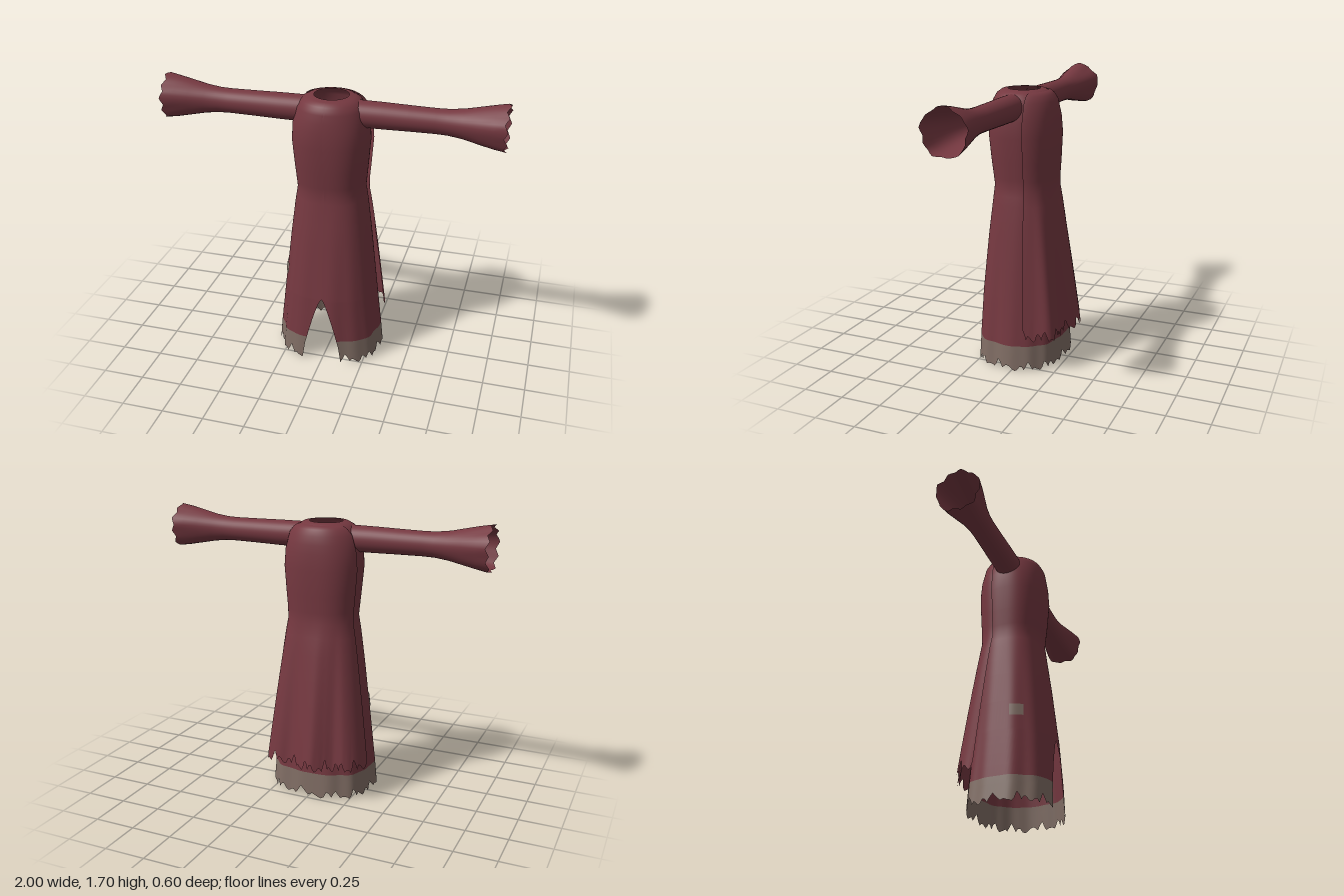
import * as THREE from 'three';

const { clamp, lerp, smoothstep } = THREE.MathUtils;
const cloth = new THREE.MeshStandardMaterial({ color: 0x753840, side: THREE.DoubleSide });
cloth.name = 'wine cloth';
const trim = new THREE.MeshStandardMaterial({ color: 0x806d64, side: THREE.DoubleSide });
trim.name = 'dusty trim';

// Smooth open sheet from a grid of points; rows from splitRow on use the second material
function sheet(name, rows, cols, point, materials = cloth, splitRow = rows) {
  const pos = [], index = [];
  for (let i = 0; i <= rows; i++)
    for (let j = 0; j <= cols; j++) pos.push(...point(i, j / cols, j));
  for (let i = 0; i < rows; i++)
    for (let j = 0; j < cols; j++) {
      const a = i * (cols + 1) + j, c = a + cols + 1;
      index.push(a, c, a + 1, a + 1, c, c + 1);
    }
  const geo = new THREE.BufferGeometry();
  geo.setAttribute('position', new THREE.Float32BufferAttribute(pos, 3));
  geo.setIndex(index);
  geo.computeVertexNormals();
  if (Array.isArray(materials)) {
    geo.addGroup(0, splitRow * cols * 6, 0);
    geo.addGroup(splitRow * cols * 6, (rows - splitRow) * cols * 6, 1);
  }
  const mesh = new THREE.Mesh(geo, materials);
  mesh.name = name;
  return mesh;
}

// Robe profile: height, half width, front z, back z
const PROFILE = [
  [1.665, 0.10, 0.14, -0.05], [1.66, 0.135, 0.175, -0.083], [1.64, 0.172, 0.203, -0.112],
  [1.6, 0.2, 0.224, -0.135], [1.5, 0.222, 0.237, -0.15], [1.4, 0.225, 0.24, -0.155],
  [1.25, 0.213, 0.226, -0.15], [1.1, 0.2, 0.208, -0.142], [1.0, 0.216, 0.219, -0.15],
  [0.8, 0.24, 0.244, -0.17], [0.44, 0.278, 0.28, -0.2], [0.155, 0.308, 0.296, -0.22],
  [0, 0.322, 0.303, -0.23],
];

function profileAt(y) {
  let k = 0;
  while (k < PROFILE.length - 2 && PROFILE[k + 1][0] > y) k++;
  const a = PROFILE[k], b = PROFILE[k + 1], t = clamp((a[0] - y) / (a[0] - b[0]), 0, 1);
  return a.map((v, n) => lerp(v, b[n], t));
}

const power = (y) => 0.82 + 0.18 * smoothstep(y, 1.4, 1.66);
const bend = (v, p) => Math.sign(v) * Math.abs(v) ** p;

// Point on the robe; angle 0 is the front, growing towards +x
function robePoint(angle, y, offset = 0) {
  const [, hx, zf, zb] = profileAt(y), p = power(y);
  const fold = clamp((1 - y) / 0.9, 0, 1) *
    (0.016 * Math.sin(8 * angle + 0.5) + 0.012 * Math.sin(13 * angle));
  return [
    (hx + offset) * (1 + fold) * bend(Math.sin(angle), p), y,
    (zf + zb) / 2 + ((zf - zb) / 2 + offset) * (1 + fold) * bend(Math.cos(angle), p),
  ];
}

// Torn edge: uneven triangular teeth, 0 at the tips
const tooth = (j) => [0, 0.55, 1, 0.6][j % 4] * (0.6 + 0.4 * Math.sin(j * 0.61)) +
  0.25 * (1 + Math.sin(Math.floor((j + 2) / 4) * 2.4)) * 0.5;

function makeRobe() {
  const ys = [1.665, 1.66, 1.65, 1.64, 1.62, 1.6, 1.55, 1.5, 1.4, 1.25, 1.15, 1.1, 1.05, 1.0, 0.9, 0.8,
    0.62, 0.44, 0.425, 0.4, 0.35, 0.29, 0.22, 0.155, 0.11, 0.05];
  const last = ys.length - 1;
  return sheet('robe', last, 112, (i, u, j) => {
    let y = ys[i];
    // Front slit widens downwards
    const w = y < 0.44 ? 0.1 * ((0.44 - y) / 0.3) ** 0.75 : 0;
    const slit = Math.asin((w / profileAt(y)[1]) ** (1 / power(y)));
    const angle = slit + (2 * Math.PI - 2 * slit) * u;
    if (i === last) y = 0.05 * tooth(j);
    return robePoint(angle, y);
  }, [cloth, trim], ys.indexOf(0.155));
}

// Back cape: follows the robe to the waist, then flares into a wavy hem
const CAPE_HEM = new THREE.CatmullRomCurve3([
  [0.325, -0.075], [0.295, -0.15], [0.27, -0.23], [0.2, -0.255], [0.11, -0.25], [0.03, -0.285],
  [-0.05, -0.31], [-0.12, -0.272], [-0.17, -0.243], [-0.24, -0.235], [-0.295, -0.19], [-0.34, -0.1],
].map(([x, z]) => new THREE.Vector3(x, 0, z)));

function capeUpper(u, y, offset) {
  const [, , zf, zb] = profileAt(y);
  const c = ((zf + zb) / 2 + 0.035) / ((zf - zb) / 2 + offset);
  const start = Math.acos(-(c ** (1 / power(y))));
  return robePoint(start + (2 * Math.PI - 2 * start) * u, y, offset);
}

function makeCape() {
  const ys = [1.654, 1.65, 1.635, 1.6, 1.55, 1.5, 1.4, 1.25, 1.15, 1.08, 1.0, 0.9, 0.75, 0.6, 0.45, 0.34, 0.22];
  const last = ys.length - 1;
  return sheet('backCape', last, 80, (i, u, j) => {
    let y = ys[i];
    const top = capeUpper(u, Math.max(y, 1.08), i === 0 ? 0.003 : 0.016);
    if (i === last) y = 0.2 + 0.065 * tooth(j + 2);
    const t = clamp((1.08 - y) / 0.86, 0, 1) ** 0.87;
    const hem = CAPE_HEM.getPoint(u);
    return [lerp(top[0], hem.x, t), y, lerp(top[2], hem.z, t)];
  });
}

// Sleeve: straight tube flaring into a wavy open cuff
function makeSleeve(side, name) {
  const path = [[0.16, 0.077], [0.3, 0.076], [0.45, 0.073], [0.6, 0.071], [0.67, 0.073],
    [0.75, 0.083], [0.84, 0.102], [0.92, 0.118], [0.99, 0.129]];
  return sheet(name, path.length - 1, 40, (i, u) => {
    const a = side * u * 2 * Math.PI;
    const flare = smoothstep(path[i][0], 0.65, 1);
    const r = path[i][1] * (1 + 0.045 * flare * Math.cos(5 * a));
    const x = path[i][0] + (i === path.length - 1 ? 0.01 * Math.sin(10 * a) : 0);
    return [side * x, 1.57 + r * Math.cos(a), 0.053 + r * Math.sin(a)];
  });
}

export function createModel() {
  const model = new THREE.Group();
  model.name = 'tatteredRobe';
  model.add(makeRobe(), makeCape(), makeSleeve(1, 'leftSleeve'), makeSleeve(-1, 'rightSleeve'));

  // Sewn patch on the right side of the skirt
  model.add(sheet('patch', 4, 8, (i, u) =>
    robePoint(lerp(-1.42, -1.07, u), 0.59 - i * 0.0175, 0.005), trim));
  return model;
}
